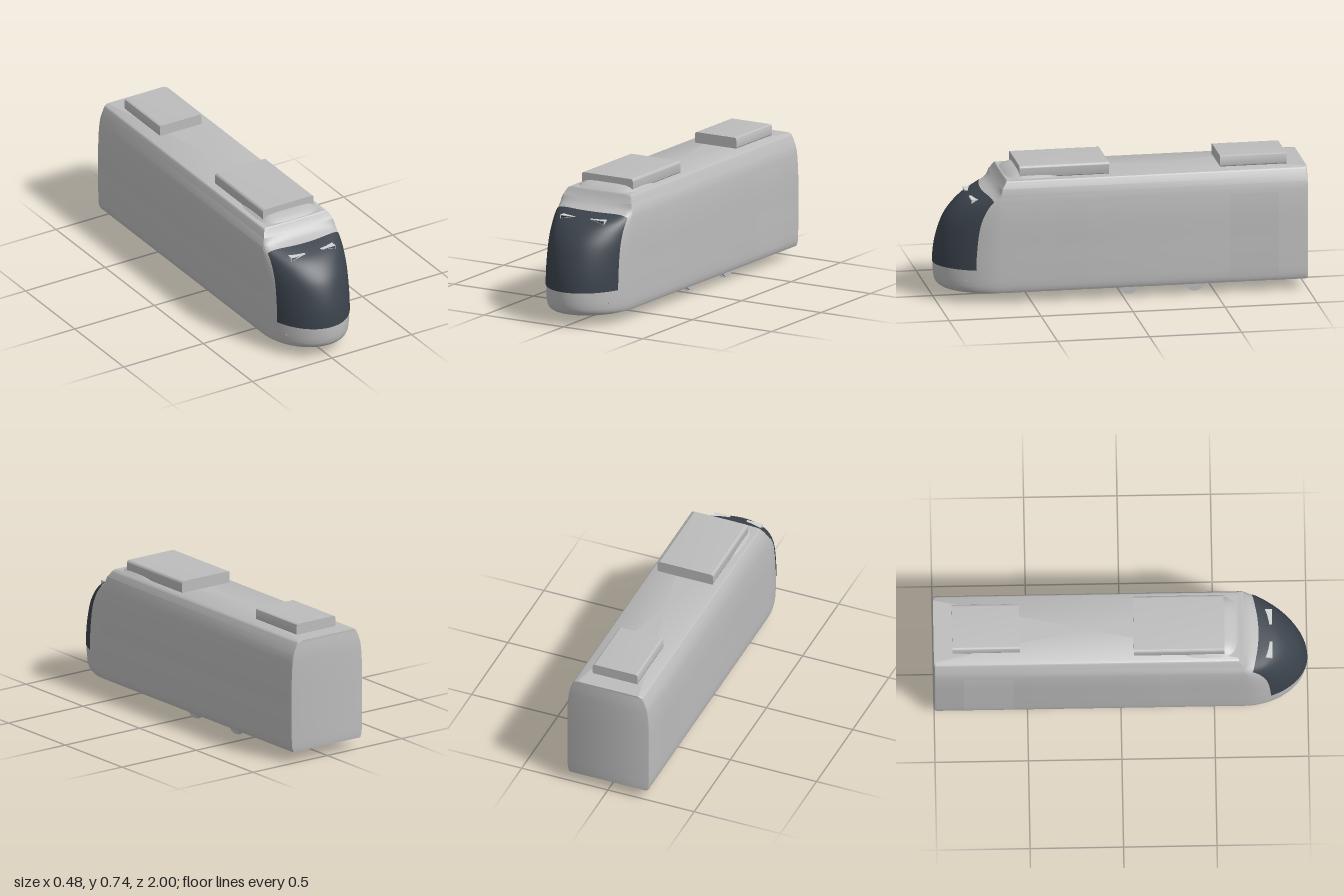
import * as THREE from 'three';
import { toCreasedNormals } from 'three/addons/utils/BufferGeometryUtils.js';

const mat = (name, color, side = THREE.FrontSide) => {
  const m = new THREE.MeshStandardMaterial({ color, side });
  m.name = name;
  return m;
};

// Solid skin through a stack of equal-length horizontal loops, capped below and above
function loft(loops, crease) {
  const n = loops[0].length, rows = loops.length;
  const pos = loops.flat(2), idx = [];
  for (let j = 0; j < rows - 1; j++) {
    for (let i = 0; i < n; i++) {
      const k = (i + 1) % n;
      const a = j * n + i, b = j * n + k, c = b + n, d = a + n;
      idx.push(a, d, c, a, c, b);
    }
  }
  const bottom = rows * n, top = bottom + 1;
  const mid = (l) => (Math.min(...l.map((p) => p[2])) + Math.max(...l.map((p) => p[2]))) / 2;
  pos.push(0, loops[0][0][1], mid(loops[0]), 0, loops[rows - 1][0][1], mid(loops[rows - 1]));
  for (let i = 0; i < n; i++) {
    const k = (i + 1) % n, r = (rows - 1) * n;
    idx.push(bottom, i, k, top, r + k, r + i);
  }
  const g = new THREE.BufferGeometry();
  g.setAttribute('position', new THREE.Float32BufferAttribute(pos, 3));
  g.setIndex(idx);
  return toCreasedNormals(g, crease);
}

// Open sheet from a function of u and v in 0..1
function sheet(fn, nu, nv) {
  const g = new THREE.PlaneGeometry(1, 1, nu, nv);
  const p = g.attributes.position;
  for (let i = 0; i < p.count; i++) p.setXYZ(i, ...fn(p.getX(i) + 0.5, p.getY(i) + 0.5));
  g.computeVertexNormals();
  return g;
}

// Body profile: half width, height, foremost z
const profile = new THREE.CatmullRomCurve3([
  [0.228, 0.06, 0.955], [0.234, 0.075, 0.978], [0.238, 0.1, 0.991], [0.24, 0.19, 0.997],
  [0.24, 0.31, 0.984], [0.24, 0.43, 0.943], [0.238, 0.497, 0.893], [0.235, 0.54, 0.84],
  [0.232, 0.57, 0.775], [0.229, 0.588, 0.725], [0.225, 0.605, 0.69], [0.216, 0.63, 0.663],
  [0.205, 0.655, 0.645], [0.197, 0.669, 0.637], [0.183, 0.676, 0.632],
].map((p) => new THREE.Vector3(...p))).getPoints(98);

// Profile at a given height
function at(y) {
  let i = 1;
  while (i < profile.length - 1 && profile[i].y < y) i++;
  const a = profile[i - 1], b = profile[i];
  return a.clone().lerp(b, (y - a.y) / (b.y - a.y));
}

// Elliptical nose: point at angle t from the centre line, pushed out by off
function nose(p, t, off = 0) {
  const z0 = Math.min(0.66, p.z - 0.003);
  return [(p.x + off) * Math.sin(t), p.y, z0 + (p.z + off - z0) * Math.cos(t)];
}

function bodyLoop(p) {
  const loop = [[p.x - 0.01, p.y, -1], [p.x - 0.003, p.y, -0.996], [p.x, p.y, -0.985]];
  for (let i = 0; i <= 48; i++) loop.push(nose(p, Math.PI / 2 - (Math.PI * i) / 48));
  for (let i = 2; i >= 0; i--) loop.push([-loop[i][0], p.y, loop[i][2]]);
  return loop;
}

// Rounded-corner box section extruded along z
function roofBox(halfW, y0, y1, z0, z1, r) {
  const s = new THREE.Shape();
  s.moveTo(-halfW + r, y0).lineTo(halfW - r, y0);
  s.quadraticCurveTo(halfW, y0, halfW, y0 + r).lineTo(halfW, y1 - r);
  s.quadraticCurveTo(halfW, y1, halfW - r, y1).lineTo(-halfW + r, y1);
  s.quadraticCurveTo(-halfW, y1, -halfW, y1 - r).lineTo(-halfW, y0 + r);
  s.quadraticCurveTo(-halfW, y0, -halfW + r, y0);
  const g = new THREE.ExtrudeGeometry(s, { depth: z1 - z0, bevelEnabled: false, curveSegments: 6 });
  g.translate(0, 0, z0);
  return toCreasedNormals(g, 0.7);
}

export function createModel() {
  const group = new THREE.Group();
  group.name = 'railcar';
  const paint = mat('bodyGrey', 0xbcbcbc);
  const panel = mat('panelGrey', 0xbcbcbc, THREE.DoubleSide);
  const glass = mat('darkGlass', 0x3b434c, THREE.DoubleSide);
  const lampGrey = mat('lampGrey', 0xd2d4d4);
  const add = (name, geo, material, parent = group) => {
    const m = new THREE.Mesh(geo, material);
    m.name = name;
    parent.add(m);
    return m;
  };

  add('body', loft(profile.map(bodyLoop), 0.6), paint);

  // Wraparound windscreen with a gently arched top edge
  add('windscreen', sheet((u, v) => {
    const s = u * 2 - 1;
    const yTop = 0.584 - 0.019 * Math.pow(Math.abs(s), 5);
    const p = at(0.19 + (yTop - 0.19) * v);
    return nose(p, s * Math.asin(0.222 / (p.x + 0.004)), 0.004);
  }, 64, 64), glass);

  // Roof fairing behind the nose
  const fairing = [
    [0.668, 0.185, 0.29, 0.635], [0.68, 0.172, 0.32, 0.62], [0.692, 0.152, 0.37, 0.597],
    [0.7, 0.136, 0.41, 0.575], [0.705, 0.115, 0.44, 0.55],
  ].map(([y, w, zr, zf]) => Array.from({ length: 40 }, (_, i) => {
    const t = (i / 40) * Math.PI * 2;
    const q = (v) => Math.sign(v) * Math.sqrt(Math.abs(v));
    return [w * q(Math.cos(t)), y, (zr + zf) / 2 + ((zf - zr) / 2) * q(Math.sin(t))];
  }));
  add('roofFairing', loft(fairing, 0.9), paint);

  // Roof equipment boxes
  add('frontRoofUnit', roofBox(0.16, 0.672, 0.74, 0.07, 0.555, 0.014), paint);
  add('rearRoofUnit', roofBox(0.13, 0.67, 0.735, -0.9, -0.54, 0.014), paint);

  for (const s of [1, -1]) {
    const side = s > 0 ? 'left' : 'right';

    // Door leaves, laid just proud of the body sides
    [[0.21, 0.37], [-0.705, -0.572], [-0.84, -0.707]].forEach(([z0, z1], i) => {
      add(`${side}Door${i + 1}`, sheet((u, v) => {
        const p = at(0.095 + 0.455 * v);
        return [s * (p.x + 0.001), p.y, s > 0 ? z1 + (z0 - z1) * u : z0 + (z1 - z0) * u];
      }, 1, 24), panel);
    });

    // Slanted headlight frame with a dark inset
    const outline = (d) => [
      [0.048 + d * 5, 0.561 - d], [0.138 - d, 0.561 - d], [0.138 - d, 0.535 + d * 1.6], [0.1, 0.549 + d * 0.8],
    ].map(([x, y]) => new THREE.Vector2(s * x, y));
    const frame = new THREE.Shape(outline(0));
    frame.holes.push(new THREE.Path(outline(0.003)));
    add(`${side}HeadlightFrame`, new THREE.ExtrudeGeometry(frame, { depth: 0.045, bevelEnabled: false })
      .translate(0, 0, 0.768), lampGrey);
    add(`${side}HeadlightLens`, new THREE.ExtrudeGeometry(new THREE.Shape(outline(0.002)), { depth: 0.035, bevelEnabled: false })
      .translate(0, 0, 0.77), glass);

    // Small marker lamp low on the nose
    const p = at(0.128);
    const lamp = add(`${side}MarkerLamp`, new THREE.SphereGeometry(0.007, 12, 8), paint);
    lamp.position.set(...nose(p, s * Math.asin(0.195 / p.x)));
    lamp.scale.set(0.5, 1, 0.5);
  }

  // Flanged wheels on two axles
  for (const z of [-0.04, -0.4]) {
    const axle = add('axle', new THREE.CylinderGeometry(0.007, 0.007, 0.28, 12), paint);
    axle.rotation.z = Math.PI / 2;
    axle.position.set(0, 0.06, z);
    for (const s of [1, -1]) {
      const wheel = new THREE.Group();
      wheel.name = 'wheel';
      wheel.position.set(s * 0.152, 0.06, z);
      wheel.rotation.z = Math.PI / 2;
      add('tread', new THREE.CylinderGeometry(0.054, 0.054, 0.025, 32), paint, wheel);
      const flange = add('flange', new THREE.CylinderGeometry(0.06, 0.06, 0.006, 32), paint, wheel);
      flange.position.y = s * 0.005;
      group.add(wheel);
    }
  }
  return group;
}
